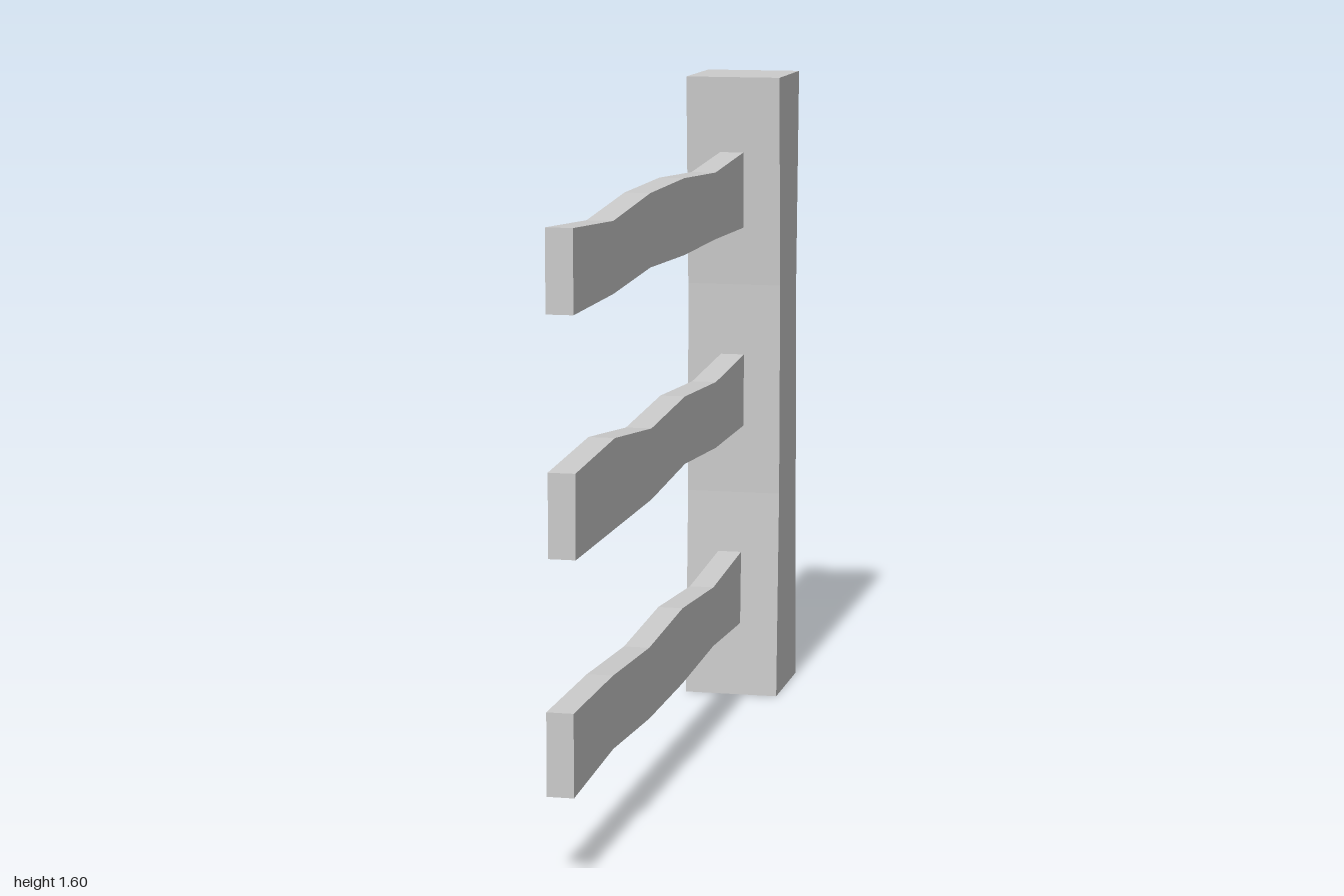
import * as THREE from 'three';

const material = new THREE.MeshStandardMaterial({ color: 0xcccccc, flatShading: true });

// Extrude a side profile of [z, y] points across x, from x0 to x1
function sideSlab(name, points, x0, x1) {
  const shape = new THREE.Shape(points.map(([z, y]) => new THREE.Vector2(z, y)));
  const geometry = new THREE.ExtrudeGeometry(shape, { depth: x1 - x0, bevelEnabled: false });
  geometry.rotateY(-Math.PI / 2); // profile x becomes z, depth runs towards -x
  geometry.translate(x1, 0, 0);
  const mesh = new THREE.Mesh(geometry, material);
  mesh.name = name;
  return mesh;
}

// Wavy plank: upper and lower edge heights at evenly spaced stations, front to back
function rail(name, zFront, zBack, upper, lower, xCentre) {
  const station = (i) => THREE.MathUtils.lerp(zFront, zBack, i / (upper.length - 1));
  const top = upper.map((y, i) => [station(i), y]);
  const bottom = lower.map((y, i) => [station(i), y]);
  return sideSlab(name, [...top, ...bottom.reverse()], xCentre - 0.03, xCentre + 0.03);
}

export function createModel() {
  const fence = new THREE.Group();
  fence.name = 'fenceSection';

  // Square post, slightly waisted front and back
  fence.add(sideSlab('post', [
    [-1, 0], [-0.735, 0], [-0.76, 0.53], [-0.76, 1.07], [-0.735, 1.6],
    [-1, 1.6], [-0.978, 1.07], [-0.988, 0.53],
  ], -0.12, 0.12));

  // Three rough-cut rails running forward from the post
  fence.add(
    rail('topRail', 1, -0.76,
      [1.408, 1.385, 1.41, 1.41, 1.39, 1.41], [1.226, 1.226, 1.241, 1.228, 1.226, 1.217], -0.004),
    rail('middleRail', 0.99, -0.77,
      [0.89, 0.907, 0.87, 0.889, 0.87, 0.89], [0.705, 0.705, 0.705, 0.726, 0.705, 0.705], -0.004),
    rail('bottomRail', 0.998, -0.765,
      [0.375, 0.375, 0.358, 0.375, 0.352, 0.375], [0.19, 0.208, 0.19, 0.19, 0.202, 0.187], -0.008),
  );

  return fence;
}
